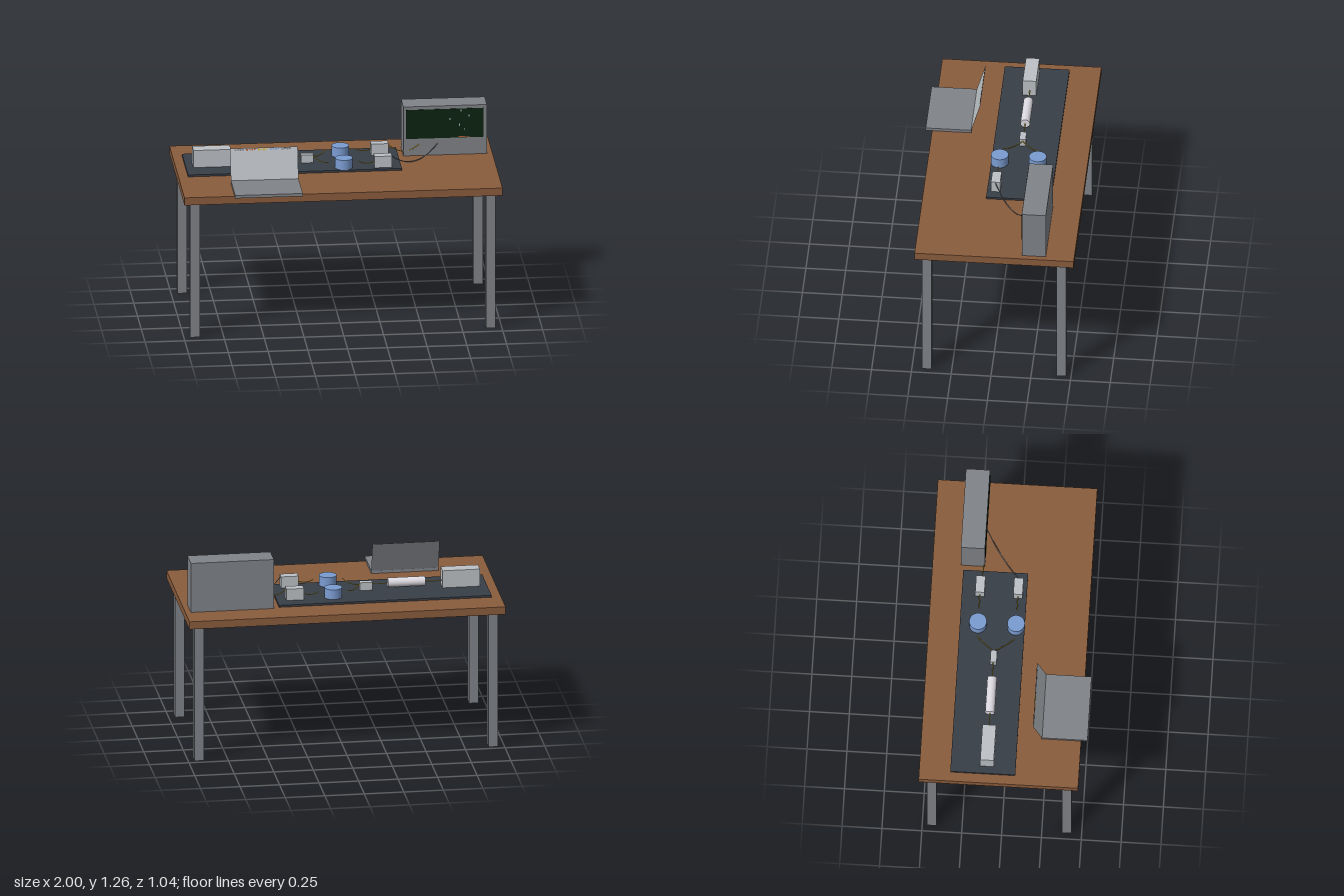
import * as THREE from 'three';

const mat = (name, color, side = THREE.FrontSide) => {
  const m = new THREE.MeshStandardMaterial({ color, side });
  m.name = name;
  return m;
};

export function createModel() {
  const wood = mat('brown wood', 0x8a5c3c);
  const steel = mat('steel grey', 0x808388, THREE.DoubleSide);
  const slate = mat('dark slate', 0x383e47);
  const pale = mat('pale grey', 0xbdc2c6, THREE.DoubleSide);
  const white = mat('tube white', 0xdedae2);
  const blue = mat('soft blue', 0x7b9cd2);
  const green = mat('screen green', 0x0b2410);
  const yellow = mat('fibre yellow', 0xc8b03c);
  const orange = mat('burnt orange', 0xb8602c);

  const model = new THREE.Group();
  model.name = 'opticsBench';
  const add = (name, geometry, material, parent = model) => {
    const m = new THREE.Mesh(geometry, material);
    m.name = name;
    parent.add(m);
    return m;
  };
  // Box given by its limits on each axis
  const box = (name, material, x0, x1, y0, y1, z0, z1, parent) => {
    const m = add(name, new THREE.BoxGeometry(x1 - x0, y1 - y0, z1 - z0), material, parent);
    m.position.set((x0 + x1) / 2, (y0 + y1) / 2, (z0 + z1) / 2);
    return m;
  };
  // Sagging cable between two points
  const cable = (name, material, a, b, sag, radius = 0.003) => {
    const p = new THREE.Vector3(...a), q = new THREE.Vector3(...b);
    const mid = p.clone().lerp(q, 0.5);
    mid.y -= sag * 2;
    const curve = new THREE.QuadraticBezierCurve3(p, mid, q);
    add(name, new THREE.TubeGeometry(curve, 20, radius, 8), material);
  };

  // Table
  box('tableTop', wood, -1, 1, 0.89, 0.94, -0.52, 0.48);
  for (const x of [-0.93, 0.93])
    for (const z of [-0.44, 0.407])
      box('tableLeg', steel, x - 0.03, x + 0.03, 0, 0.89, z - 0.03, z + 0.03);

  // Board with the optical parts
  const deck = 0.953, axisZ = -0.1;
  box('board', slate, -0.94, 0.405, 0.94, deck, -0.325, 0.082);
  box('sourceBox', pale, -0.893, -0.657, deck, 1.066, -0.14, -0.055);
  const tube = add('whiteTube', new THREE.CylinderGeometry(0.03, 0.03, 0.236, 32), white);
  tube.rotation.z = Math.PI / 2;
  tube.position.set(-0.433, 0.992, axisZ);
  box('splitter', pale, -0.215, -0.137, deck, 1.005, -0.119, -0.079);

  for (const z of [-0.211, 0.028]) {
    const drum = add('blueDrum', new THREE.CylinderGeometry(0.055, 0.055, 0.064, 32), blue);
    drum.position.set(0.045, deck + 0.032, z);
    box('detector', pale, 0.235, 0.345, deck, 1.028, z - 0.029, z + 0.029);
    cable('splitterFibre', yellow, [-0.137, 0.99, axisZ], [-0.047, 0.99, z], 0.015);
    cable('drumFibre', yellow, [0.137, 0.992, z], [0.237, 0.987, z], 0.013);
  }
  cable('sourceFibre', yellow, [-0.658, 0.992, axisZ], [-0.55, 0.992, axisZ], 0.004);
  cable('tubeFibre', yellow, [-0.316, 0.992, axisZ], [-0.214, 0.99, axisZ], 0.004);
  cable('rearSignalCable', yellow, [0.344, 1.015, -0.205], [0.54, 1.018, -0.187], 0.045);
  cable('frontSignalCable', steel, [0.344, 1.02, 0.028], [0.655, 1.018, -0.188], 0.075);

  // Monitor unit and its display
  const monitor = new THREE.Group();
  monitor.name = 'monitor';
  model.add(monitor);
  box('monitorCase', steel, 0.44, 0.965, 0.94, 1.264, -0.342, -0.191, monitor);
  box('display', green, 0.457, 0.944, 1.052, 1.243, -0.192, -0.188, monitor);
  [[0.73, 1.17], [0.79, 1.13], [0.82, 1.1], [0.85, 1.19], [0.8, 1.225]].forEach(([x, y]) =>
    box('displayMark', pale, x, x + 0.005, y, y + 0.014, -0.189, -0.187, monitor));
  box('displayMark', orange, 0.785, 0.86, 1.056, 1.061, -0.189, -0.187, monitor);

  // Laptop with a thin lid leaning back
  const laptop = new THREE.Group();
  laptop.name = 'laptop';
  model.add(laptop);
  box('laptopBase', steel, -0.685, -0.26, 0.94, 0.959, 0.233, 0.52, laptop);
  const lid = new THREE.Group();
  lid.name = 'laptopLid';
  lid.position.set(-0.4725, 0.957, 0.234);
  lid.rotation.x = -Math.atan2(0.056, 0.195);
  laptop.add(lid);
  const lidHeight = 0.203;
  add('lidBack', new THREE.PlaneGeometry(0.425, lidHeight), steel, lid).position.y = lidHeight / 2;
  add('lidScreen', new THREE.PlaneGeometry(0.425, lidHeight), pale, lid).position.set(0, lidHeight / 2, 0.002);

  // Row of coloured marks along the top of the lid screen
  [steel, orange, yellow, blue, steel].forEach((material, i) => {
    for (let k = 0; k < 4; k++) {
      const x = -0.185 + i * 0.074 + k * 0.016;
      box('screenMark', material, x, x + 0.011, 0.186 + (k % 2) * 0.004, 0.198, 0.002, 0.003, lid);
    }
  });
  return model;
}
